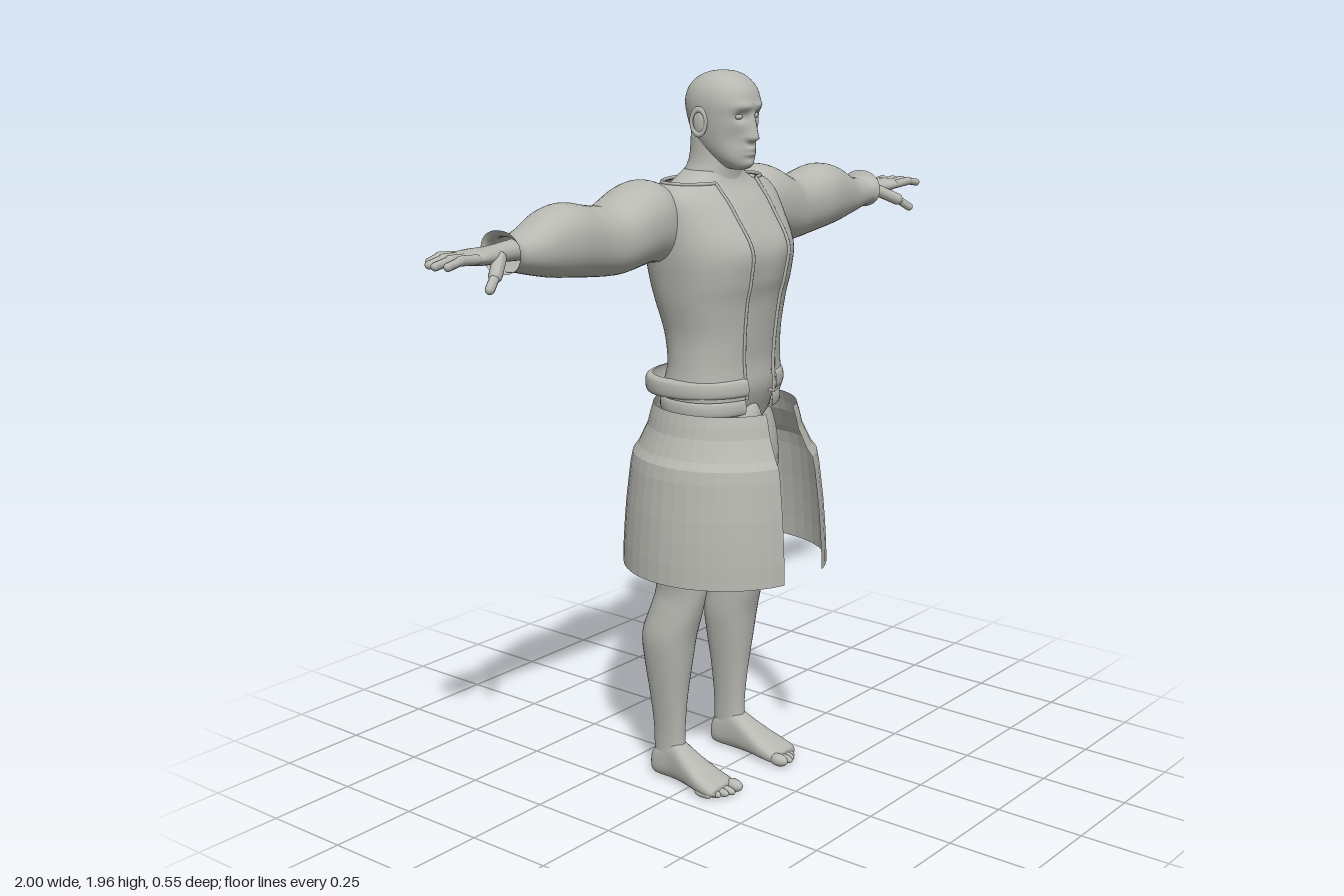
import * as THREE from 'three';

const grey = new THREE.MeshStandardMaterial({ color: 0xb8b8b2, side: THREE.DoubleSide });
grey.name = 'stone grey';

const bump = (d, s) => Math.exp(-((d / s) ** 2));
const spline = (a, b, c, d, u) =>
  0.5 * (2 * b + (c - a) * u + (2 * a - 5 * b + 4 * c - d) * u * u + (3 * b - a - 3 * c + d) * u ** 3);

// Smooth skin through rows [t, aMin, aMax, bMin, bMax].
// axis y: a = x, b = z; axis x: a = z, b = y; axis z: a = y, b = x.
function loft(rows, { axis = 'y', n = 32, sub = 4, p = 2.2, caps = true, open = null, shape = null } = {}) {
  const pos = [], idx = [], edges = [[], [], []], cols = open ? n + 1 : n;
  const row = (i) => rows[Math.min(Math.max(i, 0), rows.length - 1)];
  const rings = (rows.length - 1) * sub + 1;
  const place = (t, a, b) => {
    const v = axis === 'y' ? new THREE.Vector3(a, t, b)
      : axis === 'x' ? new THREE.Vector3(t, b, a) : new THREE.Vector3(b, a, t);
    if (shape) shape(v);
    pos.push(v.x, v.y, v.z);
    return v;
  };
  const pw = (s) => Math.sign(s) * Math.abs(s) ** (2 / p);
  const mids = [];
  for (let r = 0; r < rings; r++) {
    const i = Math.min(Math.floor(r / sub), rows.length - 2), u = r / sub - i;
    const [t, a0, a1, b0, b1] = row(i).map((_, k) => spline(row(i - 1)[k], row(i)[k], row(i + 1)[k], row(i + 2)[k], u));
    const ca = (a0 + a1) / 2, ra = (a1 - a0) / 2, cb = (b0 + b1) / 2, rb = (b1 - b0) / 2;
    mids.push([t, ca, cb]);
    const start = open ? Math.asin(Math.min(1, (open(t) / ra) ** (p / 2))) : 0;
    for (let j = 0; j < cols; j++) {
      const ang = start + (j / n) * (Math.PI * 2 - 2 * start);
      const v = place(t, ca + ra * pw(Math.sin(ang)), cb + rb * pw(Math.cos(ang)));
      if (j === 0) edges[0].push(v);
      if (j === cols - 1) edges[1].push(v);
      if (r === rings - 1) edges[2].push(v);
    }
  }
  for (let r = 0; r < rings - 1; r++) {
    for (let j = 0; j < n; j++) {
      const a = r * cols + j, b = r * cols + (j + 1) % cols;
      idx.push(a, b, a + cols, b, b + cols, a + cols);
    }
  }
  if (caps && !open) {
    const lo = pos.length / 3;
    place(...mids[0]);
    place(...mids[rings - 1]);
    for (let j = 0; j < n; j++) {
      const k = (j + 1) % n, top = (rings - 1) * cols;
      idx.push(lo, k, j, lo + 1, top + j, top + k);
    }
  }
  const g = new THREE.BufferGeometry();
  g.setAttribute('position', new THREE.Float32BufferAttribute(pos, 3));
  g.setIndex(idx);
  g.computeVertexNormals();
  g.userData.edges = edges;
  return g;
}

function mirrored(geo) {
  const g = geo.clone().scale(-1, 1, 1), ix = g.index.array;
  for (let i = 0; i < ix.length; i += 3) [ix[i], ix[i + 1]] = [ix[i + 1], ix[i]];
  g.computeVertexNormals();
  return g;
}

const ball = (x, y, z, rx, ry, rz) => new THREE.SphereGeometry(1, 20, 14).scale(rx, ry, rz).translate(x, y, z);

// Rounded rod between two points
function rod(from, to, r) {
  const a = new THREE.Vector3(...from), b = new THREE.Vector3(...to), d = b.clone().sub(a);
  const g = new THREE.CapsuleGeometry(r, d.length(), 6, 12);
  g.applyQuaternion(new THREE.Quaternion().setFromUnitVectors(new THREE.Vector3(0, 1, 0), d.normalize()));
  return g.translate(...a.add(b).multiplyScalar(0.5).toArray());
}

// Chest, shoulder blades and spine relief
function muscle(v) {
  const ax = Math.abs(v.x);
  if (v.z > 0.03) v.z += 0.012 * bump(ax - 0.09, 0.06) * bump(v.y - 1.52, 0.06);
  if (v.z < -0.06) {
    v.z += 0.025 * bump(v.x, 0.03) * bump(v.y - 1.4, 0.2);
    v.z -= 0.008 * bump(ax - 0.11, 0.05) * bump(v.y - 1.53, 0.07);
  }
}

// Brow, eye sockets, nose, lips and chin
function face(v) {
  if (v.z < 0.02) return;
  const ax = Math.abs(v.x), y = v.y;
  const nose = THREE.MathUtils.clamp((1.86 - y) / 0.07, 0, 1) * THREE.MathUtils.smoothstep(y, 1.774, 1.79);
  v.z += 0.026 * nose * bump(ax, 0.008 + 0.008 * nose);
  v.z -= 0.013 * bump(ax - 0.034, 0.018) * bump(y - 1.846, 0.013);
  v.z += 0.007 * bump(ax - 0.03, 0.028) * bump(y - 1.872, 0.01);
  v.z += 0.008 * bump(ax, 0.02) * (bump(y - 1.761, 0.006) + bump(y - 1.748, 0.006));
  v.z += 0.008 * bump(ax, 0.022) * bump(y - 1.722, 0.013);
  v.z -= 0.006 * bump(ax - 0.05, 0.02) * bump(y - 1.785, 0.03);
}

export function createModel() {
  const model = new THREE.Group();
  const add = (name, geo) => {
    const m = new THREE.Mesh(geo, grey);
    m.name = name;
    model.add(m);
  };
  const pair = (name, geo) => {
    add(name + 'Left', geo);
    add(name + 'Right', mirrored(geo));
  };
  const sym = (rows) => rows.map(([y, w, back, front]) => [y, -w, w, back, front]);
  const piping = (pts, r) => new THREE.TubeGeometry(new THREE.CatmullRomCurve3(pts), pts.length * 2, r, 6);

  // Head and neck
  add('head', loft(sym([
    [1.708, 0.02, 0.025, 0.065], [1.716, 0.036, 0, 0.076], [1.735, 0.053, -0.03, 0.083], [1.765, 0.067, -0.065, 0.086],
    [1.8, 0.076, -0.088, 0.087], [1.84, 0.083, -0.102, 0.091], [1.88, 0.087, -0.108, 0.094], [1.915, 0.08, -0.098, 0.083],
    [1.942, 0.06, -0.073, 0.058], [1.956, 0.034, -0.042, 0.03], [1.96, 0.008, -0.015, 0.005],
  ]), { n: 96, sub: 7, shape: face }));
  pair('eye', ball(0.034, 1.846, 0.07, 0.013, 0.008, 0.01));
  pair('ear', ball(0.086, 1.83, -0.015, 0.01, 0.036, 0.021));
  pair('earRim', new THREE.TorusGeometry(0.02, 0.005, 8, 20).scale(1, 1.6, 1).rotateY(Math.PI / 2 - 0.3).translate(0.092, 1.832, -0.015));
  add('neck', loft(sym([
    [1.62, 0.11, -0.14, 0.04], [1.68, 0.09, -0.12, 0.03], [1.73, 0.069, -0.1, 0.034], [1.8, 0.066, -0.092, 0.03],
  ])));

  // Bare trunk beneath the jacket
  add('trunk', loft(sym([
    [0.98, 0.1, -0.1, 0.03], [1.01, 0.15, -0.13, 0.065], [1.06, 0.172, -0.14, 0.085], [1.13, 0.17, -0.127, 0.108],
    [1.2, 0.163, -0.113, 0.105], [1.28, 0.163, -0.126, 0.112], [1.37, 0.182, -0.152, 0.122], [1.43, 0.192, -0.168, 0.137],
    [1.51, 0.202, -0.173, 0.136], [1.61, 0.2, -0.15, 0.082], [1.655, 0.17, -0.132, 0.045], [1.68, 0.12, -0.12, 0.03],
    [1.705, 0.08, -0.108, 0.025],
  ]), { n: 64, p: 2.3, shape: muscle }));
  add('groin', ball(0, 1.04, 0.07, 0.048, 0.055, 0.042));

  // Open sleeveless jacket front and back
  const gap = (y) => THREE.MathUtils.mapLinear(y, 1.1, 1.68, 0.058, 0.085);
  const jacket = loft(sym([
    [1.11, 0.182, -0.14, 0.124], [1.14, 0.182, -0.138, 0.124], [1.2, 0.175, -0.125, 0.12], [1.28, 0.175, -0.138, 0.125],
    [1.37, 0.194, -0.164, 0.136], [1.43, 0.204, -0.18, 0.15], [1.51, 0.214, -0.185, 0.148], [1.61, 0.213, -0.163, 0.097],
    [1.655, 0.203, -0.15, 0.062], [1.677, 0.165, -0.136, 0.045],
  ]), { n: 72, p: 2.3, open: gap, shape: muscle });
  add('jacket', jacket);
  jacket.userData.edges.forEach((e, i) => add(['frontEdgeLeft', 'frontEdgeRight', 'neckline'][i], piping(e, 0.005)));

  // Rolled hem and belt
  const roll = (y, h, w, back, front) => loft(sym([
    [y - h, w - 0.02, back + 0.02, front - 0.02], [y - h * 0.8, w - 0.004, back + 0.004, front - 0.004], [y, w, back, front],
    [y + h * 0.8, w - 0.004, back + 0.004, front - 0.004], [y + h, w - 0.02, back + 0.02, front - 0.02],
  ]), { n: 64, p: 2.3, open: gap });
  const tilt = (g) => g.rotateX(-0.03);
  add('hem', tilt(roll(1.139, 0.026, 0.194, -0.17, 0.168)));
  add('belt', roll(1.088, 0.024, 0.182, -0.152, 0.122));

  // Sleeves with a flared cuff
  pair('sleeve', loft([
    [0.165, -0.165, -0.01, 1.48, 1.665], [0.2, -0.182, 0.008, 1.475, 1.685], [0.24, -0.19, 0.014, 1.478, 1.692],
    [0.29, -0.19, 0.014, 1.472, 1.682], [0.34, -0.185, 0.01, 1.465, 1.66], [0.385, -0.18, 0.004, 1.464, 1.643],
    [0.45, -0.175, -0.002, 1.47, 1.65], [0.53, -0.172, 0, 1.48, 1.665], [0.6, -0.163, -0.008, 1.49, 1.653],
    [0.67, -0.15, -0.018, 1.506, 1.618], [0.735, -0.138, -0.022, 1.522, 1.606], [0.757, -0.146, -0.014, 1.518, 1.624],
  ], { axis: 'x', n: 40, caps: false }));

  // Hands
  pair('hand', loft([
    [0.69, -0.115, -0.045, 1.545, 1.6], [0.77, -0.107, -0.047, 1.55, 1.594], [0.81, -0.115, -0.035, 1.55, 1.592],
    [0.85, -0.124, -0.026, 1.553, 1.592], [0.89, -0.123, -0.025, 1.56, 1.589], [0.905, -0.115, -0.035, 1.566, 1.584],
  ], { axis: 'x', n: 24 }));
  [[-0.035, -0.028, 0.976], [-0.061, -0.056, 0.989], [-0.087, -0.085, 0.98], [-0.112, -0.114, 0.952]].forEach(([z0, z1, tip], i) => {
    const mid = (0.89 + tip) / 2;
    pair('finger' + i, rod([0.88, 1.575, z0], [mid, 1.579, (z0 + z1) / 2], 0.0125));
    pair('fingertip' + i, rod([mid, 1.579, (z0 + z1) / 2], [tip, 1.571, z1], 0.0105));
  });
  pair('thumbBase', rod([0.79, 1.565, -0.05], [0.845, 1.535, -0.01], 0.017));
  pair('thumbTip', rod([0.845, 1.535, -0.01], [0.882, 1.51, 0.008], 0.012));

  // Legs
  pair('leg', loft([
    [0.03, 0.108, 0.165, -0.138, -0.03], [0.1, 0.106, 0.165, -0.139, -0.04], [0.16, 0.104, 0.168, -0.14, -0.04],
    [0.25, 0.095, 0.18, -0.148, -0.033], [0.35, 0.08, 0.196, -0.16, -0.02], [0.43, 0.07, 0.204, -0.165, -0.008],
    [0.5, 0.073, 0.192, -0.145, 0.012], [0.56, 0.076, 0.182, -0.128, 0.026], [0.63, 0.066, 0.188, -0.13, 0.035],
    [0.75, 0.045, 0.196, -0.142, 0.06], [0.9, 0.017, 0.2, -0.15, 0.08], [1, 0.004, 0.19, -0.148, 0.075], [1.07, 0.02, 0.165, -0.13, 0.055],
  ], { n: 36 }));
  pair('foot', loft([
    [-0.146, 0.015, 0.05, 0.12, 0.15], [-0.13, 0.002, 0.085, 0.106, 0.165], [-0.07, 0, 0.118, 0.103, 0.168],
    [-0.01, 0.001, 0.09, 0.097, 0.182], [0.05, 0, 0.058, 0.09, 0.197], [0.09, 0, 0.042, 0.089, 0.199], [0.108, 0.006, 0.03, 0.095, 0.19],
  ], { axis: 'z', n: 28, p: 2.6 }));
  [0.018, 0.0125, 0.012, 0.0115, 0.011].forEach((r, i) => {
    const x = i ? 0.115 + i * 0.0185 : 0.105;
    pair('toe' + i, ball(x, r, 0.113 - i * i * 0.0025, r, r, 0.03));
  });

  // Stiff faceted skirt, split at the front
  const outline = [[0.281, 0.63], [0.279, 0.69], [0.275, 0.75], [0.27, 0.81], [0.264, 0.86], [0.258, 0.91], [0.251, 0.945],
    [0.236, 0.965], [0.224, 0.99], [0.21, 1.02], [0.203, 1.05], [0.194, 1.08]].map((q) => new THREE.Vector2(...q));
  const skirt = new THREE.LatheGeometry(outline, 40, 0.305, Math.PI * 2 - 0.61).toNonIndexed();
  skirt.computeVertexNormals();
  add('skirt', skirt);

  return model;
}
